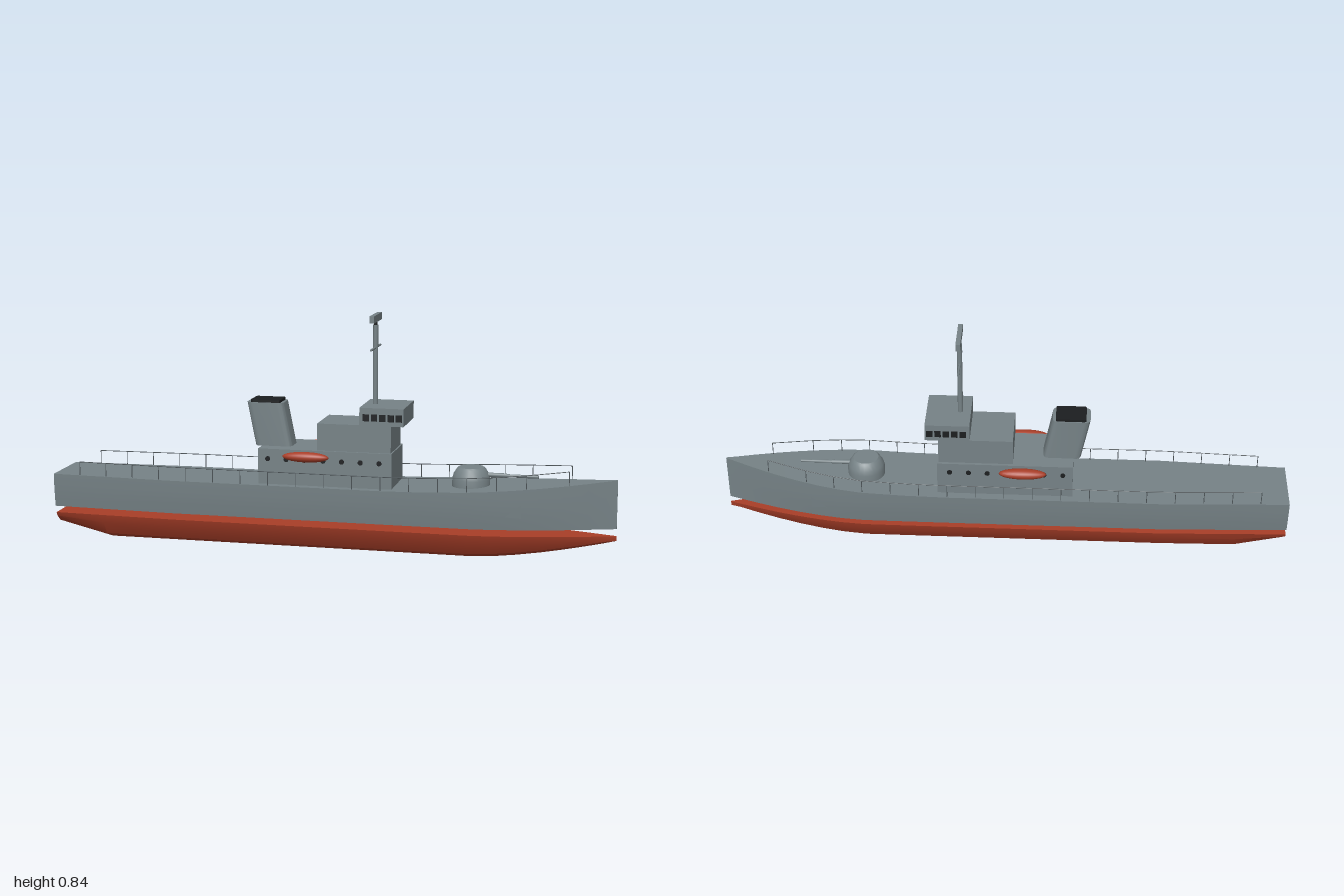
import * as THREE from 'three';
import { toCreasedNormals } from 'three/addons/utils/BufferGeometryUtils.js';

const grey = new THREE.MeshStandardMaterial({ color: 0x768286, name: 'hull grey' });
const red = new THREE.MeshStandardMaterial({ color: 0xa83e28, name: 'antifouling red' });
const black = new THREE.MeshStandardMaterial({ color: 0x1c1e20, name: 'black' });
const railGrey = new THREE.MeshStandardMaterial({ color: 0x565e62, name: 'rail grey' });
const plateGrey = new THREE.MeshStandardMaterial({ color: 0x768286, name: 'plate grey', side: THREE.DoubleSide });

const XS = [-1, -0.82, -0.55, -0.2, 0.2, 0.35, 0.5, 0.58, 0.66, 0.74, 0.82, 0.9, 0.96, 1];

// Half-width of the hull at deck level
function halfWidth(x) {
  if (x < -0.55) return 0.11 + 0.02 * (x + 1) / 0.45;
  if (x < 0.48) return 0.13;
  const t = (x - 0.48) / 0.52;
  return Math.max(0.002, 0.13 * (1 - Math.pow(t, 1.65)));
}
// Deck height, with the sheer rising to the bow
const deckY = x => 0.245 + (x > 0.2 ? 0.05 * Math.pow((x - 0.2) / 0.8, 1.7) : 0);

// Closed hull through rings of [y, z]; each ring runs down the left side and up the right
function loft(halfSection) {
  const rings = XS.map(x => {
    const half = halfSection(x);
    const other = half.filter(p => p[1] > 0).reverse().map(([y, z]) => [y, -z]);
    return [...half, ...other].map(([y, z]) => [x, y, z]);
  });
  const pos = [];
  const tri = (a, b, c) => pos.push(...a, ...b, ...c);
  const n = rings[0].length;
  for (let i = 0; i < rings.length - 1; i++) {
    for (let j = 0; j < n; j++) {
      const k = (j + 1) % n;
      const a = rings[i][j], b = rings[i + 1][j], c = rings[i + 1][k], d = rings[i][k];
      tri(a, d, c);
      tri(a, c, b);
    }
  }
  const first = rings[0], last = rings[rings.length - 1];
  for (let j = 1; j < n - 1; j++) {
    tri(last[0], last[j], last[j + 1]);
    tri(first[0], first[j + 1], first[j]);
  }
  const g = new THREE.BufferGeometry();
  g.setAttribute('position', new THREE.Float32BufferAttribute(pos, 3));
  return toCreasedNormals(g, 0.35);
}

// Side of the upper hull: nearly upright, tucked in at the foot
const sideZ = (x, y) => halfWidth(x) * (1 - 0.085 * Math.pow(Math.max(0, (0.25 - y) / 0.125), 1.8));
function upperSection(x) {
  const top = deckY(x);
  return [1, 0.66, 0.33, 0].map(t => {
    const y = 0.125 + (top - 0.125) * t;
    return [y, sideZ(x, y)];
  });
}

// Lower hull: keel rises at the stern and under the bow
function lowerSection(x) {
  let keel = 0;
  if (x < -0.82) keel = 0.052 * (-0.82 - x) / 0.18;
  if (x > 0.5) keel = 0.083 * Math.pow((x - 0.5) / 0.5, 1.5);
  const w = halfWidth(x) * 0.85, h = 0.1 - keel;
  return [[0.1, w], [keel + 0.7 * h, w * 0.92], [keel + 0.25 * h, w * 0.64], [keel, 0]];
}

export function createModel() {
  const ship = new THREE.Group();
  ship.name = 'ship';
  const add = (name, geo, mat, x = 0, y = 0, z = 0) => {
    const m = new THREE.Mesh(geo, mat);
    m.name = name;
    m.position.set(x, y, z);
    ship.add(m);
    return m;
  };
  // Box given by its limits in x and y and its half-width in z
  const block = (name, x0, x1, y0, y1, hz, mat = grey) =>
    add(name, new THREE.BoxGeometry(x1 - x0, y1 - y0, hz * 2), mat, (x0 + x1) / 2, (y0 + y1) / 2);
  // Round bar between two points
  const bar = (name, a, b, r, mat, sides = 5) => {
    const p = new THREE.Vector3(...a), q = new THREE.Vector3(...b);
    const mid = p.clone().add(q).multiplyScalar(0.5);
    const m = add(name, new THREE.CylinderGeometry(r, r, p.distanceTo(q), sides), mat, mid.x, mid.y, mid.z);
    m.quaternion.setFromUnitVectors(new THREE.Vector3(0, 1, 0), q.sub(p).normalize());
    return m;
  };

  // Hull in two parts with an open gap between them
  add('upperHull', loft(upperSection), grey);
  add('lowerHull', loft(lowerSection), red);

  // Deckhouse, wheelhouse base and bridge
  block('deckhouse', -0.24, 0.235, 0.235, 0.37, 0.1);
  block('wheelhouseBase', -0.03, 0.23, 0.37, 0.465, 0.09);
  block('bridge', 0.12, 0.275, 0.465, 0.527, 0.095);

  // Funnel: rounded outline extruded upward and leaned aft
  const roundedRect = (w, d, r) => {
    const s = new THREE.Shape();
    s.moveTo(-w + r, -d);
    s.lineTo(w - r, -d);
    s.quadraticCurveTo(w, -d, w, -d + r);
    s.lineTo(w, d - r);
    s.quadraticCurveTo(w, d, w - r, d);
    s.lineTo(-w + r, d);
    s.quadraticCurveTo(-w, d, -w, d - r);
    s.lineTo(-w, -d + r);
    s.quadraticCurveTo(-w, -d, -w + r, -d);
    return s;
  };
  const prism = (w, d, r, h) => new THREE.ExtrudeGeometry(roundedRect(w, d, r),
    { depth: h, bevelEnabled: false, curveSegments: 5 }).rotateX(-Math.PI / 2);
  const funnel = prism(0.066, 0.046, 0.022, 0.154);
  funnel.applyMatrix4(new THREE.Matrix4().set(1, -0.2, 0, 0, 0, 1, 0, 0, 0, 0, 1, 0, 0, 0, 0, 1));
  add('funnel', toCreasedNormals(funnel, 0.6), grey, -0.2, 0.369, 0);
  add('funnelCap', prism(0.053, 0.042, 0.008, 0.01), black, -0.229, 0.522, 0);

  // Mast with yard and radar aerial
  bar('mast', [0.157, 0.525, 0], [0.157, 0.803, 0], 0.009, grey, 12);
  bar('mastNeck', [0.157, 0.8, 0], [0.157, 0.82, 0], 0.006, black, 8);
  bar('yard', [0.157, 0.724, -0.079], [0.157, 0.724, 0.079], 0.004, grey, 8);
  block('radarAerial', 0.149, 0.165, 0.815, 0.84, 0.068);

  // Gun turret and barrel
  const turret = [[0.066, 0.245], [0.066, 0.278], [0.062, 0.294], [0.05, 0.314], [0.044, 0.319], [0, 0.319]]
    .map(p => new THREE.Vector2(...p));
  add('gunTurret', toCreasedNormals(new THREE.LatheGeometry(turret, 24), 0.5), grey, 0.497, 0, 0);
  bar('gunSleeve', [0.54, 0.293, 0], [0.62, 0.293, 0], 0.008, grey, 10);
  bar('gunBarrel', [0.6, 0.293, 0], [0.73, 0.293, 0], 0.0055, grey, 10);

  for (const s of [1, -1]) {
    const side = s > 0 ? 'left' : 'right';

    // Life raft
    add(side + 'LifeRaft', new THREE.SphereGeometry(1, 24, 14), red, -0.065, 0.35, s * 0.119)
      .scale.set(0.083, 0.018, 0.022);

    // Portholes and bridge windows
    for (let i = 0; i < 7; i++) {
      add(side + 'Porthole', new THREE.CylinderGeometry(0.009, 0.009, 0.006, 10).rotateX(Math.PI / 2),
        black, -0.205 + i * 0.066, 0.335, s * 0.1);
    }
    for (let i = 0; i < 5; i++) {
      add(side + 'BridgeWindow', new THREE.BoxGeometry(0.022, 0.024, 0.004), black,
        0.143 + i * 0.029, 0.493, s * 0.0955);
    }

    // Anchor plate on the bow
    const corners = [[0.63, 0.172], [0.685, 0.168], [0.685, 0.216]];
    const plate = new THREE.BufferGeometry();
    plate.setAttribute('position', new THREE.Float32BufferAttribute(
      corners.flatMap(([x, y], i) => [x, y, s * (sideZ(x, y) + (i ? 0.008 : 0.003))]), 3));
    if (s < 0) plate.setIndex([0, 2, 1]);
    plate.computeVertexNormals();
    add(side + 'AnchorPlate', plate, plateGrey);

    // Guard rail: posts with a top wire following the sheer
    const foot = x => [x, deckY(x) - 0.003, s * Math.max(0.004, halfWidth(x) - 0.006)];
    const head = x => [x, deckY(x) + 0.048, s * Math.max(0.004, halfWidth(x) - 0.006)];
    const posts = Array.from({ length: 18 }, (_, i) => -0.9 + i * 0.1);
    posts[17] = 0.84;
    posts.forEach((x, i) => {
      bar(side + 'RailPost', foot(x), head(x), 0.0015, railGrey);
      if (i) bar(side + 'RailWire', head(posts[i - 1]), head(x), 0.0015, railGrey);
    });
  }
  return ship;
}
